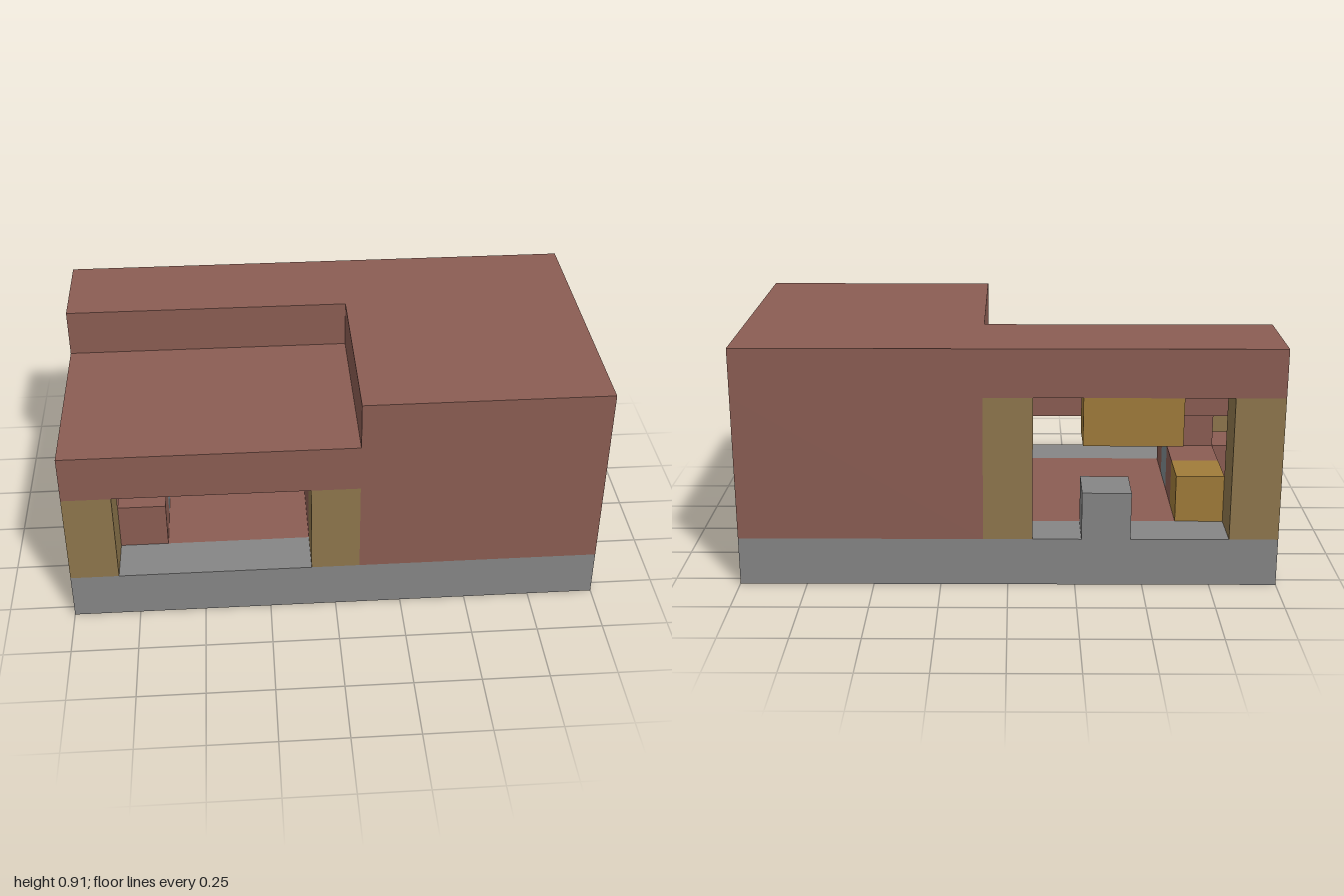
import * as THREE from 'three';

const U = 2 / 11; // one block
const mat = (name, color) => {
  const m = new THREE.MeshStandardMaterial({ color });
  m.name = name;
  return m;
};

export function createModel() {
  const root = new THREE.Group();
  root.name = 'house';
  const brick = mat('brick', 0x8b5d53);
  const stone = mat('stone', 0x868686);
  const timber = mat('timber', 0x8f774d);
  const planks = mat('planks', 0xa07c3a);
  const iron = mat('iron', 0x7e8a90);

  // Block ranges: i from the -x side, y from the ground, k from the back
  function block(name, material, i0, i1, y0, y1, k0, k1) {
    const g = new THREE.BoxGeometry((i1 - i0) * U, (y1 - y0) * U, (k1 - k0) * U);
    const mesh = new THREE.Mesh(g, material);
    mesh.position.set(((i0 + i1) / 2 - 5.5) * U, ((y0 + y1) / 2) * U, ((k0 + k1) / 2 - 3) * U);
    mesh.name = name;
    root.add(mesh);
  }
  const pts = (list) => list.map(([i, k]) => new THREE.Vector2((i - 5.5) * U, (k - 3) * U));
  const rect = (i0, i1, k0, k1) => [[i0, k0], [i1, k0], [i1, k1], [i0, k1]];

  // Slab with a plan outline and optional holes
  function slab(name, material, outline, holes, y0, y1) {
    const s = new THREE.Shape(pts(outline));
    holes.forEach((h) => s.holes.push(new THREE.Path(pts(h))));
    const g = new THREE.ExtrudeGeometry(s, { depth: (y1 - y0) * U, bevelEnabled: false });
    g.rotateX(Math.PI / 2);
    g.translate(0, y1 * U, 0);
    const mesh = new THREE.Mesh(g, material);
    mesh.name = name;
    root.add(mesh);
  }

  // Foundation with inlaid brick floors
  const porchFloor = rect(1, 5, 1, 5);
  const roomFloor = [[7, 1], [10, 1], [10, 5], [7, 5], [7, 3], [6, 3], [6, 2], [7, 2]];
  const inlay = rect(8, 9, 2, 3);
  slab('foundation', stone, rect(0, 11, 0, 6), [porchFloor, roomFloor], 0, 1);
  slab('porchFloor', brick, porchFloor, [], 0, 1);
  slab('roomFloor', brick, roomFloor, [inlay], 0, 1);
  slab('floorInlay', stone, inlay, [], 0, 1);

  // Enclosed room
  slab('roomWalls', brick, rect(6, 11, 0, 6), [rect(6.001, 10, 1, 5)], 1, 4);
  block('innerWallBack', brick, 5, 6, 1, 4, 1, 2);
  block('innerWallFront', brick, 5, 6, 1, 3, 3, 5);

  // Stepped roof
  slab('upperRoof', brick, [[0, 0], [11, 0], [11, 6], [6, 6], [6, 2], [0, 2]], [], 4, 5);
  block('lowerRoof', brick, 0, 6, 3, 4, 2, 6);

  // Corner posts of the open porch
  for (const i of [0, 5]) {
    block('backPost', timber, i, i + 1, 1, 4, 0, 1);
    block('frontPost', timber, i, i + 1, 1, 3, 5, 6);
  }

  // Hanging beam and low pier in the back opening
  block('hangingBeam', planks, 2, 4, 3, 4, 0, 1);
  block('pier', stone, 3, 4, 1, 2, 0, 1);

  // Hearth: furnace wrapped in brick, workbench beside it
  block('furnace', iron, 1, 2, 1, 2, 3, 4);
  block('hearthFront', brick, 1, 2, 1, 2, 4, 5);
  block('hearthBack', brick, 1, 2, 1, 2, 2, 3);
  block('hearthSide', brick, 0, 1, 1, 2, 3, 4);
  block('chimney', brick, 1, 2, 2, 3, 3, 4);
  block('workbench', planks, 1, 2, 1, 2, 1, 2);

  return root;
}
